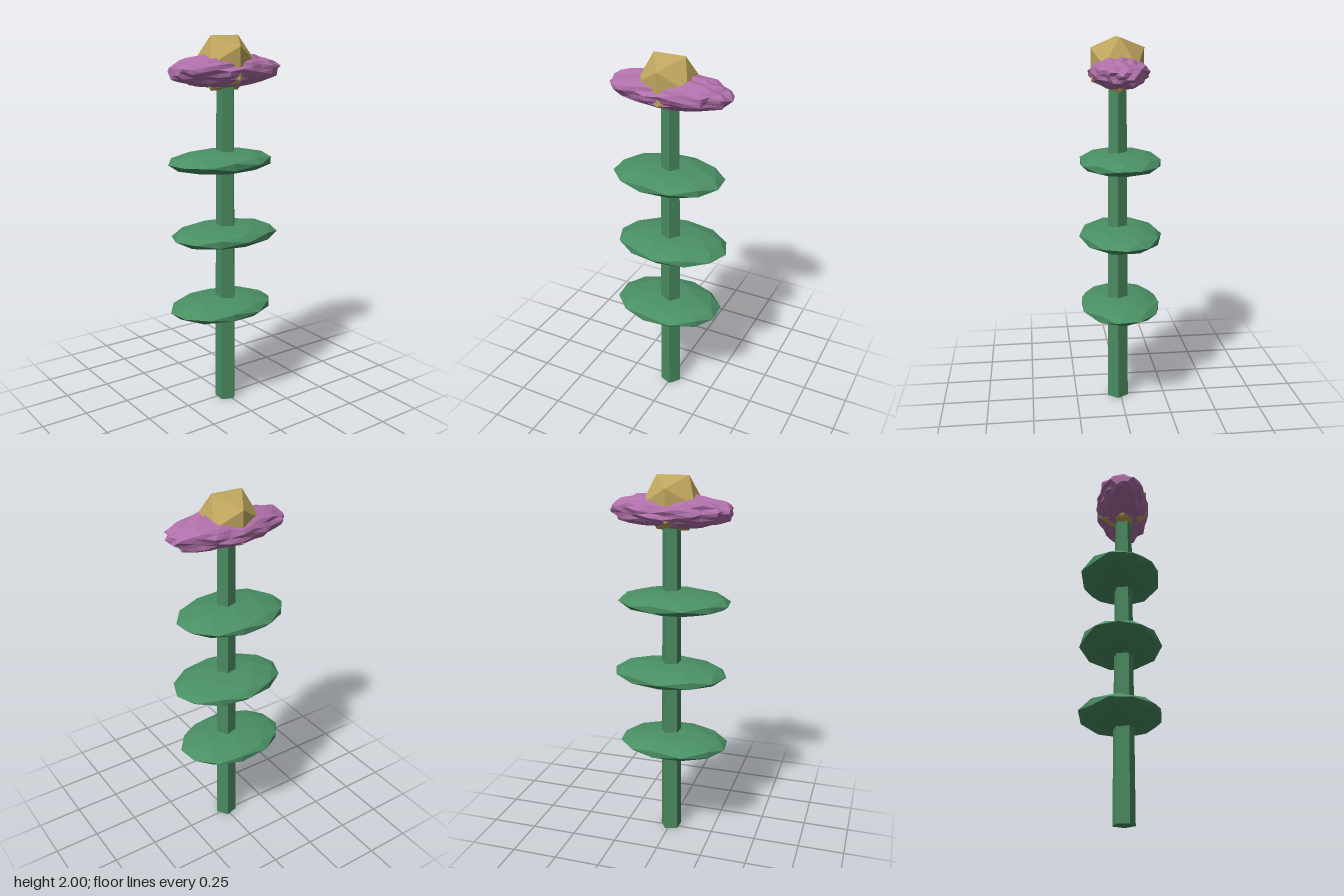
import * as THREE from 'three';

const paint = (color) => new THREE.MeshStandardMaterial({ color, flatShading: true });

export function createModel() {
  const plant = new THREE.Group();
  plant.name = 'flowerPlant';

  const add = (name, geometry, color, x, y, z) => {
    const mesh = new THREE.Mesh(geometry, paint(color));
    mesh.name = name;
    mesh.position.set(x, y, z);
    plant.add(mesh);
    return mesh;
  };

  // Five-sided stem, slightly tapered
  const stem = new THREE.CylinderGeometry(0.049, 0.0605, 1.8, 5);
  stem.rotateY(THREE.MathUtils.degToRad(15));
  add('stem', stem, 0x4a8a60, -0.005, 0.9, 0.015);

  // Three flat faceted leaves threaded on the stem: x, y, turn, half length
  const leaves = [
    [-0.025, 0.55, 0.35, 0.305],
    [-0.002, 0.955, 0, 0.313],
    [-0.025, 1.355, 0.35, 0.305],
  ];
  for (const [x, y, turn, length] of leaves) {
    const leaf = new THREE.IcosahedronGeometry(1, 1);
    leaf.rotateY(turn);
    leaf.scale(length, 0.06, 0.224);
    add('leaf', leaf, 0x4a9064, x, y, 0);
  }

  // Spiky blossom: a flattened ball whose corners are pushed in and out
  const petals = new THREE.IcosahedronGeometry(1, 4);
  const position = petals.attributes.position;
  const p = new THREE.Vector3();
  // Equal corners of neighbouring faces get the same value from 0 to 1
  const hash = (v) => {
    const h = Math.sin(Math.round(v.x * 500) * 12.99 + Math.round(v.y * 500) * 78.23 + Math.round(v.z * 500) * 37.72) * 4375.85;
    return h - Math.floor(h);
  };
  for (let i = 0; i < position.count; i++) {
    p.fromBufferAttribute(position, i);
    p.multiplyScalar(0.86 + 0.18 * hash(p));
    // The left end is blunter than the right
    p.x = Math.max(p.x * 1.05, -0.95);
    position.setXYZ(i, p.x * 0.33, p.y * 0.088, p.z * 0.155);
  }
  petals.computeVertexNormals();
  add('petals', petals, 0xb070aa, -0.005, 1.825, 0.01);

  // Faceted flower centre
  add('flowerCentre', new THREE.IcosahedronGeometry(0.162), 0xbfa65e, -0.012, 1.862, 0.013);

  return plant;
}
